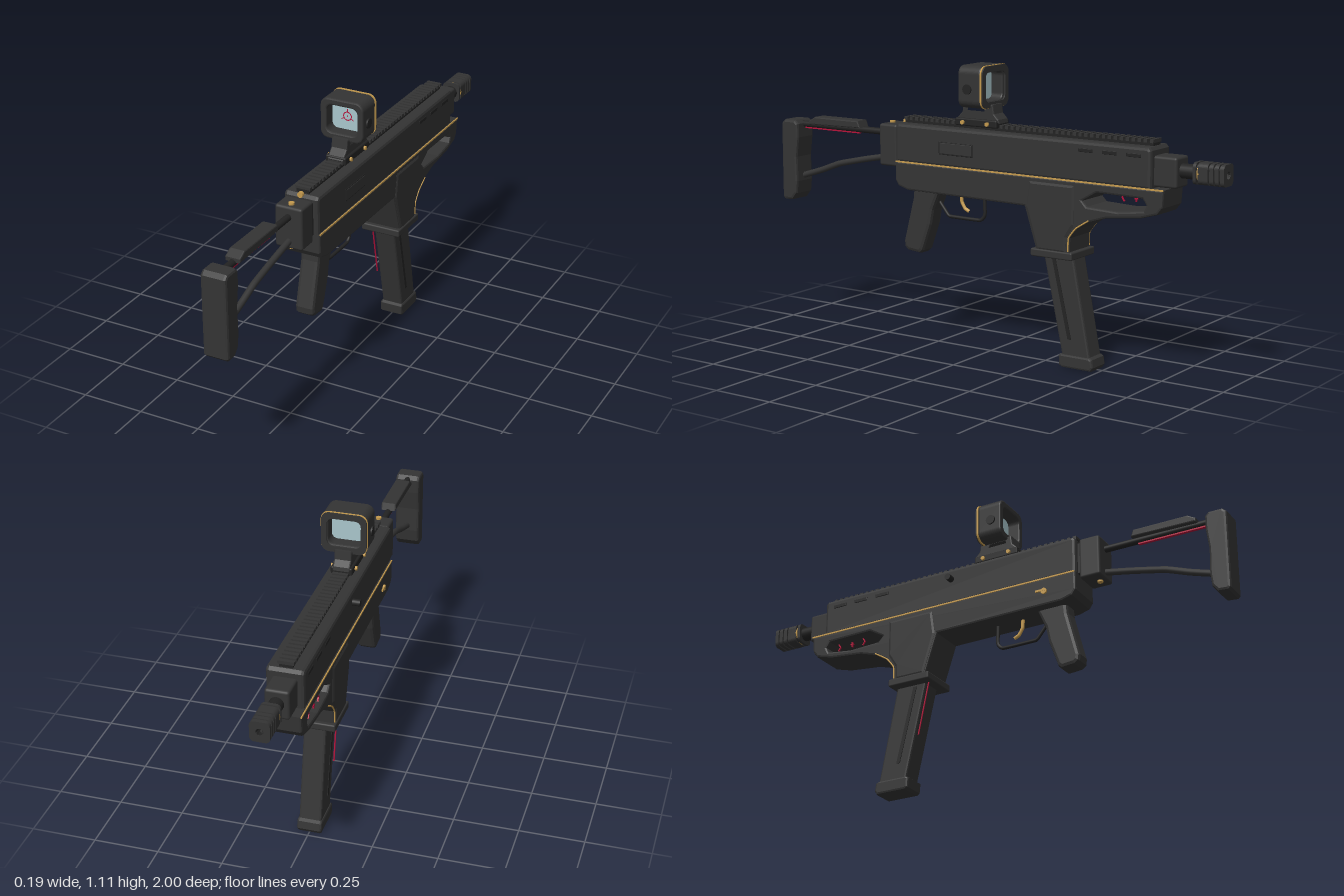
import * as THREE from 'three';
import { RoundedBoxGeometry } from 'three/addons/geometries/RoundedBoxGeometry.js';

const paint = (name, color) => Object.assign(new THREE.MeshStandardMaterial({ color }), { name });

export function createModel() {
  const body = paint('charcoal polymer', 0x343434);
  const dark = paint('dark steel', 0x232323);
  const gold = paint('brass', 0xc49a4e);
  const red = paint('crimson', 0xb5123a);
  const glass = paint('pale glass', 0xa9c6cc);
  glass.side = THREE.DoubleSide;
  const model = new THREE.Group();

  const add = (name, geo, mat, x = 0, y = 0, z = 0) => {
    const m = new THREE.Mesh(geo, mat);
    m.name = name;
    m.position.set(x, y, z);
    model.add(m);
    return m;
  };
  const box = (name, mat, w, h, d, x, y, z) => add(name, new THREE.BoxGeometry(w, h, d), mat, x, y, z);
  const rbox = (name, mat, w, h, d, x, y, z, r = 0.01) =>
    add(name, new RoundedBoxGeometry(w, h, d, 2, r), mat, x, y, z);
  // cylinder along x, y or z
  const rod = (name, mat, r, len, axis, x, y, z, sides = 20) => {
    const g = new THREE.CylinderGeometry(r, r, len, sides);
    if (axis === 'x') g.rotateZ(Math.PI / 2);
    if (axis === 'z') g.rotateX(Math.PI / 2);
    return add(name, g, mat, x, y, z);
  };
  // side outline of [z, y] points, extruded across x
  const outline = pts => pts.map(([z, y]) => new THREE.Vector2(-z, y));
  const slab = (name, mat, pts, width, bevel = 0.008, x = 0, hole) => {
    const s = new THREE.Shape(outline(pts));
    if (hole) s.holes.push(new THREE.Path(outline(hole)));
    const g = new THREE.ExtrudeGeometry(s, {
      depth: width - 2 * bevel, bevelEnabled: bevel > 0, bevelSize: bevel,
      bevelThickness: bevel, bevelOffset: -bevel, bevelSegments: 2,
    });
    g.translate(0, 0, -(width - 2 * bevel) / 2).rotateY(Math.PI / 2);
    return add(name, g, mat, x);
  };
  // tube through [z, y] points at a fixed x
  const tube = (name, mat, pts, r, x = 0, tension = 0.2) => {
    const c = new THREE.CatmullRomCurve3(pts.map(([z, y]) => new THREE.Vector3(x, y, z)), false, 'catmullrom', tension);
    return add(name, new THREE.TubeGeometry(c, 32, r, 10), mat);
  };
  const roundRect = (T, w, h, r, cy = 0) => {
    const s = new T(), a = w / 2 - r, b = h / 2 - r;
    s.absarc(a, cy + b, r, 0, Math.PI / 2);
    s.absarc(-a, cy + b, r, Math.PI / 2, Math.PI);
    s.absarc(-a, cy - b, r, Math.PI, Math.PI * 1.5);
    s.absarc(a, cy - b, r, Math.PI * 1.5, Math.PI * 2);
    s.closePath();
    return s;
  };

  // Upper receiver
  slab('upperReceiver', body, [[0.4, 0.71], [0.4, 0.85], [0.39, 0.862], [-0.72, 0.862], [-0.73, 0.85], [-0.73, 0.71]], 0.14, 0.012);

  // Lower receiver with magazine well and open fore-end
  slab('lowerReceiver', body, [
    [0.4, 0.715], [0.4, 0.64], [0.385, 0.618], [0.34, 0.605], [-0.2, 0.6], [-0.255, 0.43], [-0.395, 0.43],
    [-0.398, 0.5], [-0.425, 0.535], [-0.47, 0.565], [-0.55, 0.59], [-0.69, 0.605], [-0.76, 0.625], [-0.78, 0.65], [-0.785, 0.715],
  ], 0.15, 0.008, 0, [[-0.45, 0.645], [-0.51, 0.68], [-0.7, 0.677], [-0.715, 0.655], [-0.705, 0.634], [-0.6, 0.62], [-0.47, 0.625]]);
  slab('magazineWell', body, [[-0.22, 0.7], [-0.205, 0.6], [-0.255, 0.44], [-0.385, 0.44], [-0.388, 0.5], [-0.42, 0.55], [-0.42, 0.7]], 0.158, 0.012);
  rbox('magazineWellLip', body, 0.164, 0.03, 0.18, 0, 0.432, -0.322, 0.006);
  for (const s of [-1, 1]) {
    box('seamTrim', gold, 0.004, 0.006, 1.18, s * 0.0745, 0.714, -0.194);
    tube('wellTrim', gold, [[-0.392, 0.45], [-0.394, 0.5], [-0.425, 0.54], [-0.48, 0.575]], 0.003, s * 0.0745);
    for (let i = 0; i < 3; i++) rbox('ventSlot', dark, 0.006, 0.014, 0.06, s * 0.069, 0.83, -0.46 - i * 0.1, 0.002);
  }
  // Small marks inside the fore-end opening
  for (const [z, dir] of [[-0.545, -1], [-0.66, -1]])
    for (const s of [-1, 1]) {
      const m = box('foreEndMark', red, 0.006, 0.018, 0.004, -0.06, 0.648 + s * 0.007, z);
      m.rotation.x = s * dir * 0.6;
    }
  box('foreEndMark', red, 0.006, 0.022, 0.004, -0.06, 0.648, -0.6);
  box('foreEndMark', red, 0.006, 0.004, 0.014, -0.06, 0.648, -0.6);

  // Ejection port, charging knob, selector and pins
  rbox('portFrame', dark, 0.006, 0.05, 0.156, 0.069, 0.783, 0.115, 0.002);
  rbox('portCover', body, 0.006, 0.042, 0.148, 0.0705, 0.783, 0.115, 0.002);
  rod('chargingKnob', dark, 0.013, 0.035, 'x', -0.082, 0.816, -0.14);
  rod('selectorPivot', gold, 0.012, 0.01, 'x', -0.077, 0.66, 0.27);
  box('selectorLever', gold, 0.006, 0.008, 0.04, -0.08, 0.664, 0.255);

  // Toothed top rail
  box('railBase', dark, 0.05, 0.016, 1.1, 0, 0.868, -0.165);
  for (let i = 0; i < 45; i++) box('railTooth', body, 0.06, 0.013, 0.014, 0, 0.879, 0.378 - i * 0.0247);

  // Rear block and folding stock
  rbox('rearBlock', body, 0.11, 0.165, 0.085, 0, 0.77, 0.45);
  rbox('rearCollar', dark, 0.1, 0.13, 0.03, 0, 0.775, 0.403, 0.005);
  rod('rearPin', gold, 0.011, 0.18, 'y', 0, 0.77, 0.467);
  rod('stockRod', dark, 0.013, 0.46, 'z', 0, 0.812, 0.705);
  box('stockStripe', red, 0.012, 0.006, 0.28, 0, 0.798, 0.77);
  slab('cheekRest', body, [[0.61, 0.82], [0.62, 0.848], [0.84, 0.848], [0.872, 0.83], [0.872, 0.815]], 0.06, 0.005);
  tube('stockStrut', body, [[0.48, 0.718], [0.6, 0.695], [0.735, 0.665], [0.83, 0.63], [0.935, 0.597]], 0.0125);
  slab('buttPlate', body, [
    [1, 0.51], [0.99, 0.5], [0.95, 0.503], [0.928, 0.53], [0.922, 0.58], [0.925, 0.68], [0.915, 0.76], [0.915, 0.815], [0.93, 0.83], [0.985, 0.83], [1, 0.815],
  ], 0.1, 0.01);

  // Pistol grip, trigger and guard
  slab('pistolGrip', body, [
    [0.34, 0.625], [0.345, 0.57], [0.39, 0.395], [0.387, 0.37], [0.37, 0.357], [0.315, 0.352], [0.3, 0.365], [0.262, 0.47], [0.25, 0.53], [0.21, 0.625],
  ], 0.076, 0.014);
  tube('triggerGuard', dark, [[0.24, 0.56], [0.198, 0.51], [0.18, 0.507], [0.05, 0.507], [0.028, 0.53], [0.03, 0.61]], 0.007);
  tube('trigger', gold, [[0.138, 0.61], [0.135, 0.57], [0.12, 0.545], [0.1, 0.535]], 0.007);

  // Magazine
  slab('magazine', body, [[-0.262, 0.44], [-0.35, 0.04], [-0.47, 0.04], [-0.392, 0.44]], 0.086, 0.008);
  slab('magazineFoot', body, [[-0.335, 0.045], [-0.338, 0.008], [-0.35, 0], [-0.475, 0], [-0.485, 0.015], [-0.48, 0.045], [-0.468, 0.052], [-0.345, 0.052]], 0.096, 0.008);
  for (const s of [-1, 1])
    slab('magazineRib', dark, [[-0.305, 0.41], [-0.375, 0.11], [-0.39, 0.11], [-0.32, 0.41]], 0.006, 0, s * 0.0425);
  tube('magazineCord', red, [[-0.25, 0.43], [-0.295, 0.21]], 0.003, -0.042);

  // Barrel and muzzle
  rbox('barrelBlock', body, 0.09, 0.112, 0.1, 0, 0.775, -0.77);
  rod('barrel', dark, 0.027, 0.08, 'z', 0, 0.78, -0.85);
  rod('muzzleTrim', gold, 0.037, 0.008, 'z', 0, 0.78, -0.897);
  const bore = new THREE.Path().absarc(0, 0, 0.014, 0, Math.PI * 2);
  const ring = (name, mat, size, depth, z) => {
    const s = roundRect(THREE.Shape, size, size + 0.006, 0.018);
    s.holes.push(bore);
    add(name, new THREE.ExtrudeGeometry(s, { depth, bevelEnabled: false, curveSegments: 6 }), mat, 0, 0.78, z);
  };
  ring('muzzleCore', dark, 0.062, 0.118, -0.998);
  for (const z of [-1, -0.979, -0.958, -0.937]) ring('muzzleRing', body, 0.073, 0.015, z);
  ring('muzzleCollar', body, 0.073, 0.024, -0.922);
  ring('muzzleBack', body, 0.073, 0.012, -0.89);

  // Sight mount
  rbox('mountClamp', dark, 0.084, 0.03, 0.19, 0, 0.887, 0.042, 0.006);
  slab('mountRiser', body, [[0.14, 0.89], [0.13, 0.905], [0.11, 0.925], [0.105, 0.96], [-0.03, 0.96], [-0.035, 0.925], [-0.055, 0.905], [-0.058, 0.89]],
    0.066, 0.005, 0, [[0.09, 0.928], [0.085, 0.95], [0.008, 0.95], [0, 0.928]]);
  for (const z of [-0.012, 0.1]) rod('mountScrew', gold, 0.008, 0.1, 'x', 0, 0.886, z);
  rod('mountPin', gold, 0.011, 0.014, 'z', 0, 0.862, 0.4);

  // Sight housing: hollow rounded hood
  const hood = (name, mat, w, h, iw, ih, depth, z, bevel) => {
    const s = roundRect(THREE.Shape, w, h, 0.032);
    s.holes.push(roundRect(THREE.Path, iw, ih, 0.022));
    add(name, new THREE.ExtrudeGeometry(s, {
      depth: depth - 2 * bevel, bevelEnabled: bevel > 0, bevelSize: bevel, bevelThickness: bevel, bevelOffset: -bevel, bevelSegments: 2, curveSegments: 6,
    }), mat, 0, 1.026, z + bevel);
  };
  hood('sightHood', body, 0.176, 0.16, 0.126, 0.108, 0.1, -0.01, 0.006);
  hood('sightTrim', gold, 0.178, 0.162, 0.15, 0.134, 0.006, -0.016, 0);
  hood('sightRim', body, 0.174, 0.158, 0.13, 0.112, 0.006, -0.021, 0);
  for (const s of [-1, 1]) rod('sightKnob', dark, 0.019, 0.012, 'x', s * 0.088, 1.018, 0.047);
  add('lens', new THREE.ShapeGeometry(roundRect(THREE.Shape, 0.13, 0.112, 0.022)), glass, 0, 1.026, 0.04);

  // Reticle on the lens
  add('reticleRing', new THREE.RingGeometry(0.014, 0.018, 28), red, 0, 1.026, 0.042);
  add('reticleDot', new THREE.CircleGeometry(0.0025, 10), red, 0, 1.026, 0.042);
  for (let i = 0; i < 3; i++) {
    const a = Math.PI / 2 + i * Math.PI * 2 / 3;
    const t = add('reticleTick', new THREE.PlaneGeometry(0.012, 0.003), red, Math.cos(a) * 0.023, 1.026 + Math.sin(a) * 0.023, 0.042);
    t.rotation.z = a;
  }
  return model;
}
